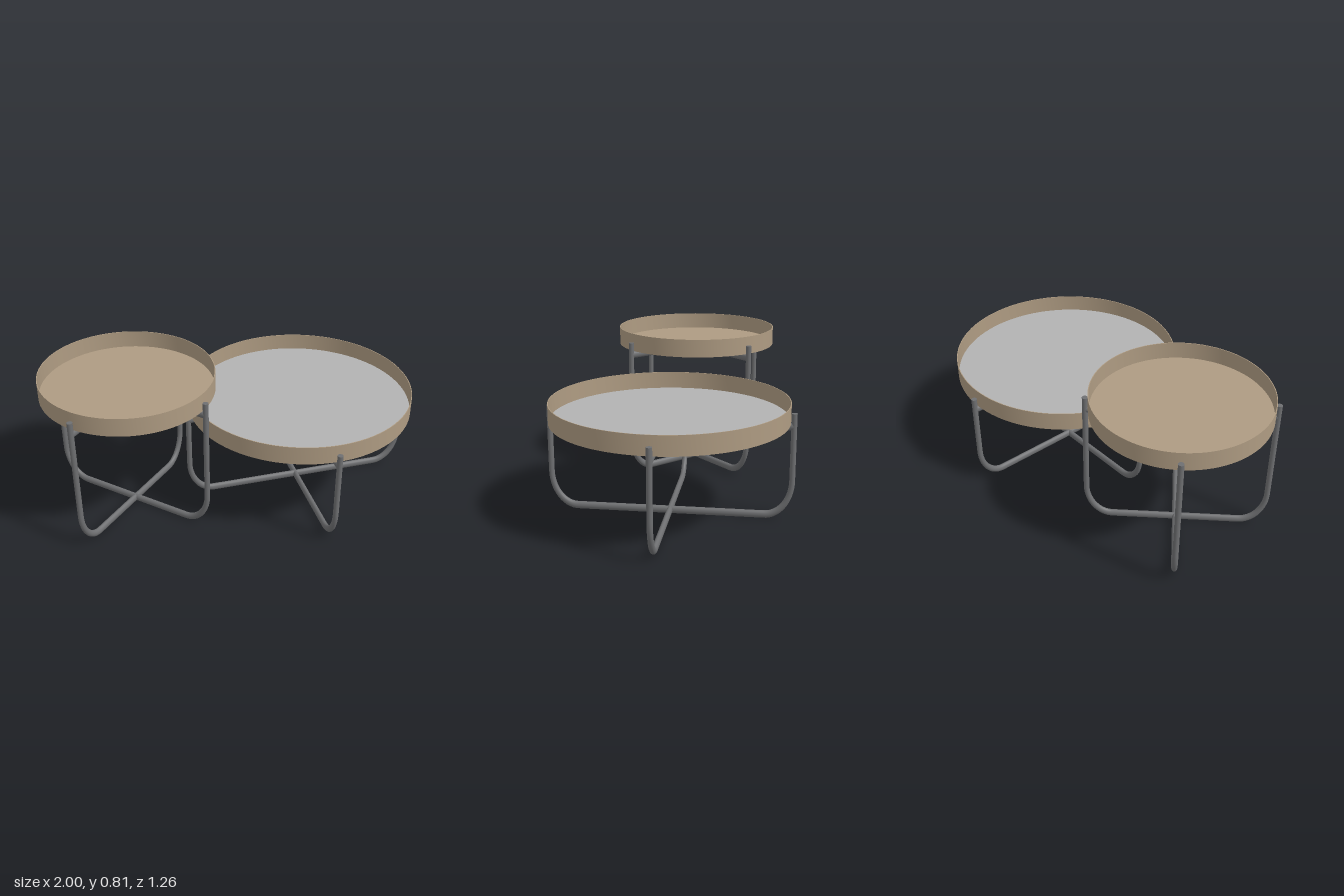
import * as THREE from 'three';
import { toCreasedNormals } from 'three/addons/utils/BufferGeometryUtils.js';

const V = (x, y) => new THREE.Vector3(x, y, 0);
const TUBE = 0.0145;   // tube radius
const BEND = 0.135;    // corner radius of the legs
const STRETCH = 1.36;  // tubes are taller than they are wide

function mat(name, color) {
  const m = new THREE.MeshStandardMaterial({ color });
  m.name = name;
  return m;
}

function add(parent, name, geometry, material) {
  const mesh = new THREE.Mesh(geometry, material);
  mesh.name = name;
  parent.add(mesh);
  return mesh;
}

// U-shaped tube: down one leg, across the floor, up the other leg
function legLoop(half, top) {
  const k = BEND * 0.4477, y0 = TUBE, yb = TUBE + BEND, xb = half - BEND;
  const path = new THREE.CurvePath();
  path.add(new THREE.LineCurve3(V(-half, top), V(-half, yb)));
  path.add(new THREE.CubicBezierCurve3(V(-half, yb), V(-half, y0 + k), V(-half + k, y0), V(-xb, y0)));
  path.add(new THREE.LineCurve3(V(-xb, y0), V(xb, y0)));
  path.add(new THREE.CubicBezierCurve3(V(xb, y0), V(half - k, y0), V(half, y0 + k), V(half, yb)));
  path.add(new THREE.LineCurve3(V(half, yb), V(half, top)));
  return new THREE.TubeGeometry(path, 120, TUBE, 16);
}

function makeTable(name, { radius, bottom, height, legTop, barY, angle, floorMaterial, wood, metal }) {
  const table = new THREE.Group();
  table.name = name;

  // Shallow round tray with a thin rim
  const wall = 0.004, floor = 0.004;
  const profile = [
    [0, 0], [radius, 0], [radius, height], [radius - wall, height], [radius - wall, floor], [0, floor],
  ].map(([x, y]) => new THREE.Vector2(x, y));
  const tray = add(table, 'tray', toCreasedNormals(new THREE.LatheGeometry(profile, 96), 0.6), wood);
  tray.position.y = bottom;

  // Thin surface laid in the tray
  const surface = add(table, 'trayFloor',
    new THREE.CylinderGeometry(radius - wall, radius - wall, 0.003, 96), floorMaterial);
  surface.position.y = bottom + floor + 0.0015;

  // Two crossed frames, each a leg loop with a bar under the tray
  const half = radius + 0.0155;
  for (const turn of [0, Math.PI / 2]) {
    const frame = new THREE.Group();
    frame.name = 'legFrame';
    frame.rotation.y = angle + turn;
    frame.scale.y = STRETCH;
    add(frame, 'legs', legLoop(half, legTop / STRETCH), metal);
    const bar = add(frame, 'crossBar', new THREE.CylinderGeometry(TUBE, TUBE, half * 2, 16), metal);
    bar.rotation.z = Math.PI / 2;
    bar.position.y = barY / STRETCH;
    for (const side of [-1, 1]) {
      const cap = add(frame, 'legCap', new THREE.CircleGeometry(TUBE, 16), metal);
      cap.rotation.x = -Math.PI / 2;
      cap.position.set(side * half, legTop / STRETCH, 0);
    }
    table.add(frame);
  }
  return table;
}

export function createModel() {
  const model = new THREE.Group();
  model.name = 'nestingTrayTables';
  const wood = mat('tan wood', 0xae9b82);
  const grey = mat('light grey', 0xb2b2b2);
  const metal = mat('dark grey metal', 0x6e6f71);

  const tall = makeTable('tallTable', {
    radius: 0.4485, bottom: 0.715, height: 0.097, legTop: 0.763, barY: 0.695,
    angle: Math.PI / 4, floorMaterial: wood, wood, metal,
  });
  tall.position.set(-0.5515, 0, -0.0255);

  const low = makeTable('lowTable', {
    radius: 0.6, bottom: 0.506, height: 0.097, legTop: 0.553, barY: 0.486,
    angle: 0, floorMaterial: grey, wood, metal,
  });
  low.position.set(0.3685, 0, 0);

  model.add(tall, low);
  return model;
}
